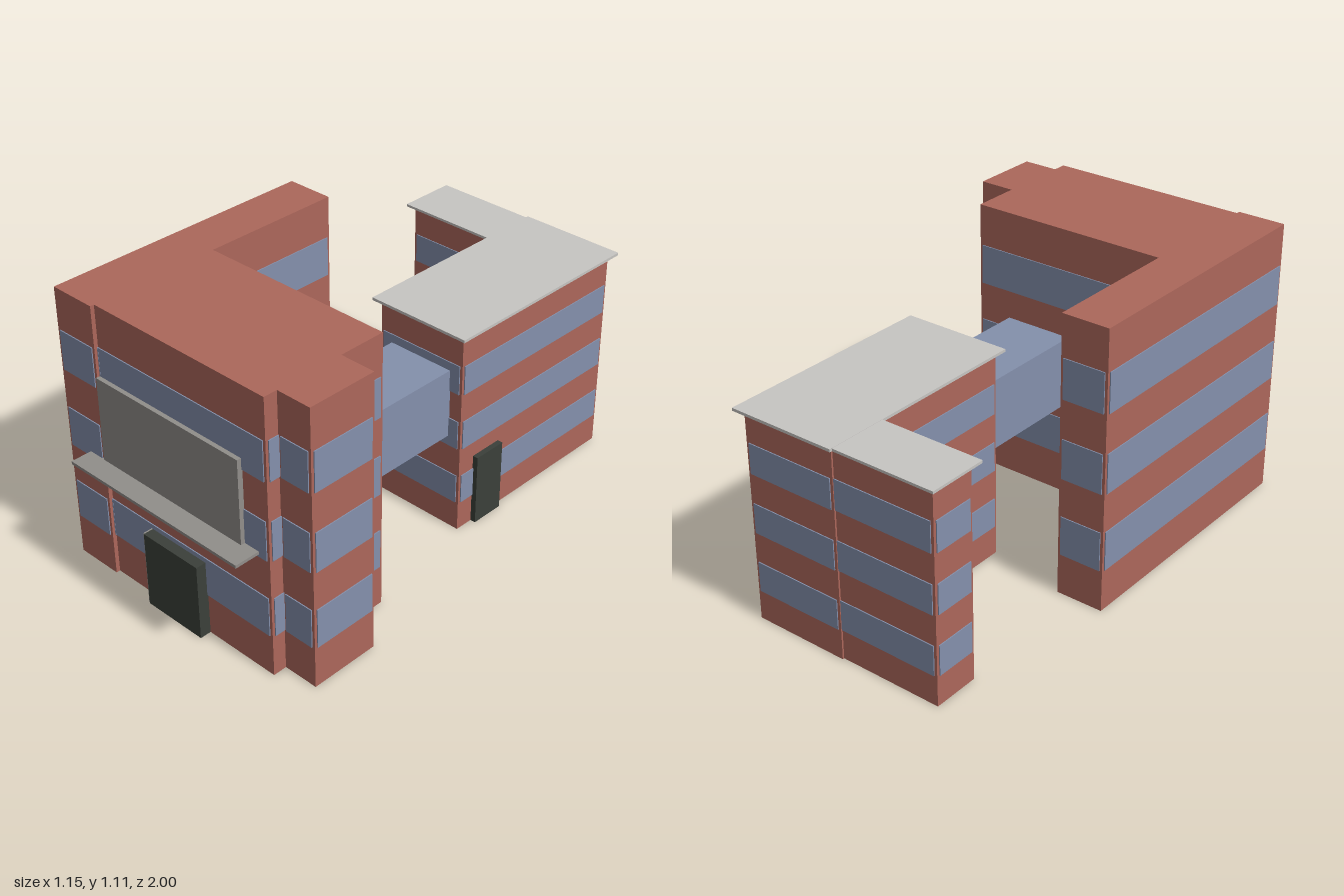
import * as THREE from 'three';

const flat = (name, color) => {
  const m = new THREE.MeshStandardMaterial({ color });
  m.name = name;
  return m;
};

export function createModel() {
  const brick = flat('brick', 0xac675b);
  const glass = flat('blueGlass', 0x8490ac);
  const paleRoof = flat('paleRoof', 0xc7c5c2);
  const grey = flat('greyMetal', 0x918e8a);
  const dark = flat('darkDoor', 0x3b403a);
  const model = new THREE.Group();
  model.name = 'building';

  // Box from its low and high limits on each axis
  const box = (parent, name, mat, [x0, x1], [y0, y1], [z0, z1]) => {
    const mesh = new THREE.Mesh(new THREE.BoxGeometry(x1 - x0, y1 - y0, z1 - z0), mat);
    mesh.position.set((x0 + x1) / 2, (y0 + y1) / 2, (z0 + z1) / 2);
    mesh.name = name;
    parent.add(mesh);
  };

  // Brick block with window strips just proud of all four walls, stopping short of the corners
  const OUT = 0.004, INSET = 0.011;
  const block = (name, x, z, height, bands, wx = x, wz = z) => {
    const g = new THREE.Group();
    g.name = name;
    model.add(g);
    box(g, 'brickWalls', brick, x, [0, height], z);
    const grow = ([a, b], d) => [a - d, b + d];
    for (const band of bands) {
      box(g, 'sideWindows', glass, grow(wx, OUT), band, grow(wz, -INSET));
      box(g, 'endWindows', glass, grow(wx, -INSET), band, grow(wz, OUT));
    }
  };

  // Tall front building
  const tall = [[0.167, 0.325], [0.48, 0.638], [0.793, 0.95]];
  block('longWing', [-0.571, -0.379], [-0.2, 0.911], 1.113, tall);
  block('mainHall', [-0.379, 0.429], [0.37, 0.895], 1.113, tall, [-0.391, 0.429]);
  block('sideBay', [0.429, 0.571], [0.56, 0.84], 1.113, tall);

  // Low rear building
  const low = [[0.12, 0.24], [0.36, 0.478], [0.595, 0.714]];
  block('rearHall', [-0.045, 0.345], [-0.97, -0.135], 0.836, low);
  block('rearWing', [-0.463, -0.045], [-0.963, -0.777], 0.836, low, [-0.463, -0.033]);
  box(model, 'rearHallRoof', paleRoof, [-0.07, 0.37], [0.836, 0.847], [-1, -0.11]);
  box(model, 'rearWingRoof', paleRoof, [-0.488, -0.07], [0.836, 0.846], [-0.99, -0.752]);

  // Glazed bridge between the buildings
  box(model, 'bridge', glass, [0.008, 0.29], [0.4, 0.68], [-0.14, 0.375]);

  // Entrance, canopy and facade panel
  box(model, 'frontDoor', dark, [-0.16, 0.111], [0, 0.307], [0.89, 0.94]);
  box(model, 'frontDoorTrim', grey, [-0.166, -0.16], [0, 0.307], [0.89, 0.937]);
  box(model, 'canopy', grey, [-0.453, 0.382], [0.49, 0.502], [0.89, 1]);
  box(model, 'facadePanel', grey, [-0.379, 0.317], [0.502, 0.837], [0.89, 0.916]);
  box(model, 'rearDoor', dark, [0.34, 0.367], [0, 0.295], [-0.355, -0.213]);

  return model;
}
